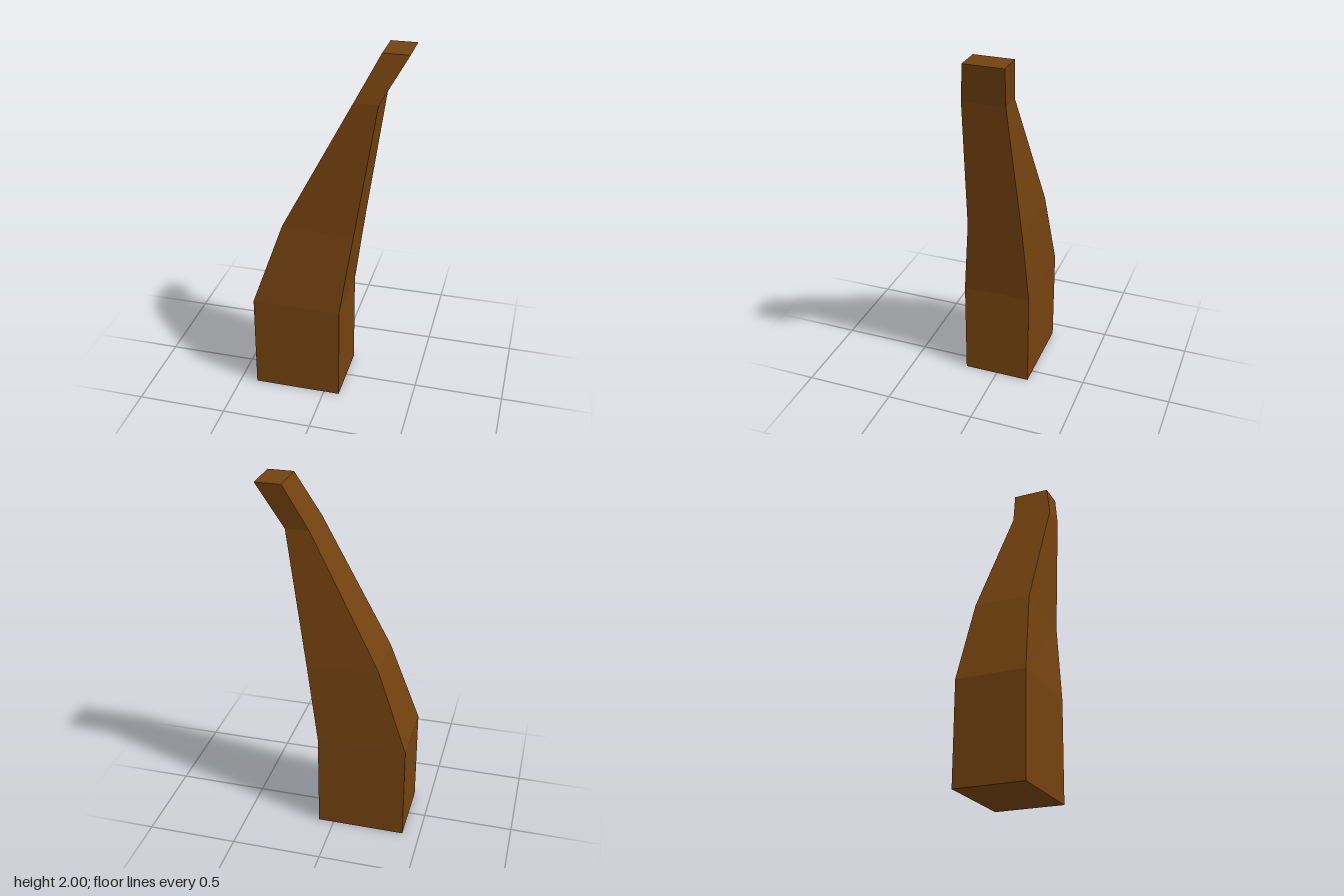
import * as THREE from 'three';

export function createModel() {
  const group = new THREE.Group();
  group.name = 'curvedPost';
  const wood = new THREE.MeshStandardMaterial({ color: 0x74420f });
  wood.name = 'brown wood';
  wood.flatShading = true;

  // Cross-sections from base to tip: left and right edge (x, y), back and front z
  const sections = [
    { x: [-0.404, 0.088], y: [0, 0], z: [-0.19, 0.19] },
    { x: [-0.404, 0.088], y: [0.555, 0.555], z: [-0.19, 0.19] },
    { x: [-0.24, 0.15], y: [1.03, 1.0], z: [-0.168, 0.14] },
    { x: [0.137, 0.265], y: [1.755, 1.755], z: [-0.117, 0.115] },
    { x: [0.262, 0.402], y: [2, 2], z: [-0.161, 0.05] },
  ];

  // Four corners per section, counter-clockwise from above
  const positions = [];
  for (const { x, y, z } of sections) {
    for (const [side, depth] of [[0, 1], [1, 1], [1, 0], [0, 0]]) {
      positions.push(x[side], y[side], z[depth]);
    }
  }

  // Side walls between neighbouring sections, then the end caps
  const indices = [];
  const quad = (a, b, c, d) => indices.push(a, b, c, a, c, d);
  for (let s = 0; s < sections.length - 1; s++) {
    for (let i = 0; i < 4; i++) {
      const a = s * 4 + i;
      const b = s * 4 + (i + 1) % 4;
      quad(a, b, b + 4, a + 4);
    }
  }
  const top = (sections.length - 1) * 4;
  quad(3, 2, 1, 0);
  quad(top, top + 1, top + 2, top + 3);

  const indexed = new THREE.BufferGeometry();
  indexed.setAttribute('position', new THREE.Float32BufferAttribute(positions, 3));
  indexed.setIndex(indices);
  const geometry = indexed.toNonIndexed();
  geometry.computeVertexNormals();

  const post = new THREE.Mesh(geometry, wood);
  post.name = 'taperedPost';
  group.add(post);
  return group;
}
